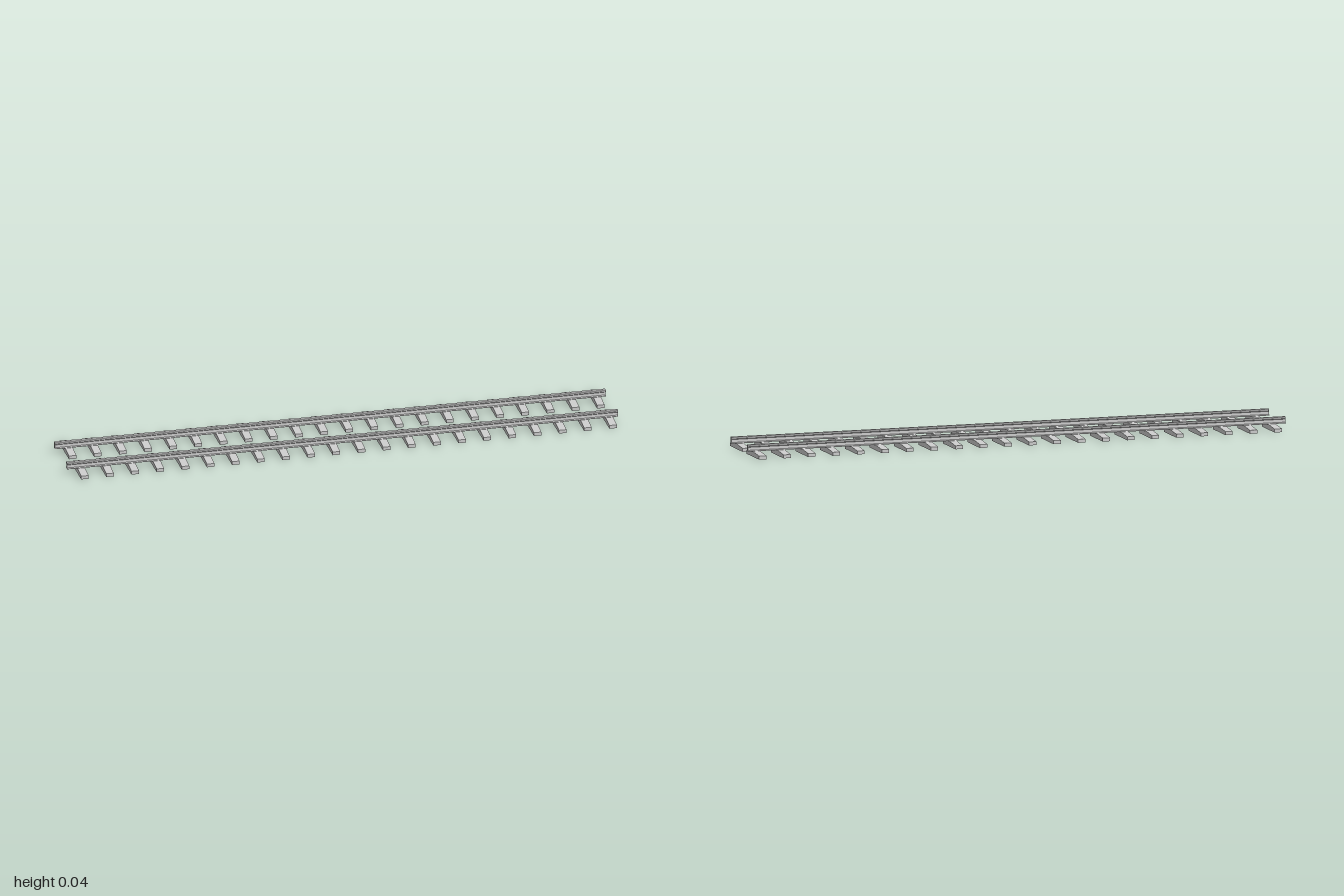
import * as THREE from 'three';

const material = new THREE.MeshStandardMaterial({ color: 0xcccccc, flatShading: true });

// Extrudes a [z, y] profile along x, centred on x = 0
function extrudeAlongX(points, length) {
  const shape = new THREE.Shape(points.map(([z, y]) => new THREE.Vector2(-z, y)));
  const geometry = new THREE.ExtrudeGeometry(shape, { depth: length, bevelEnabled: false });
  geometry.translate(0, 0, -length / 2);
  geometry.rotateY(Math.PI / 2);
  return geometry;
}

// Half of the rail section from foot to head, mirrored to a full outline
const railHalf = [
  [0.0098, 0.0195], [0.0098, 0.021], [0.0055, 0.0235], [0.0052, 0.034],
  [0.0072, 0.0365], [0.0072, 0.0415], [0.0058, 0.043],
];
const railProfile = [...railHalf, ...railHalf.map(([z, y]) => [-z, y]).reverse()];

// Sleeper section: flat bottom, top sloping down from the rail seat to both ends
const sleeperProfile = [
  [-0.07, 0], [0.07, 0], [0.07, 0.0125], [0.017, 0.0185],
  [0.014, 0.0197], [-0.004, 0.0197], [-0.007, 0.0185], [-0.07, 0.0125],
];

const SLEEPERS = 22, FIRST_X = -0.949, STEP = 0.0913;

export function createModel() {
  const model = new THREE.Group();
  model.name = 'railTrack';
  const railGeometry = extrudeAlongX(railProfile, 2);
  const sleeperGeometry = extrudeAlongX(sleeperProfile, 0.027);

  // Two identical rows, each one rail on a line of short sleepers
  for (const [name, z] of [['frontRow', 0.092], ['backRow', -0.092]]) {
    const row = new THREE.Group();
    row.name = name;
    row.position.z = z;

    const rail = new THREE.Mesh(railGeometry, material);
    rail.name = 'rail';
    rail.position.z = 0.006;
    row.add(rail);

    for (let i = 0; i < SLEEPERS; i++) {
      const sleeper = new THREE.Mesh(sleeperGeometry, material);
      sleeper.name = 'sleeper';
      sleeper.position.x = FIRST_X + i * STEP;
      row.add(sleeper);
    }
    model.add(row);
  }
  return model;
}
